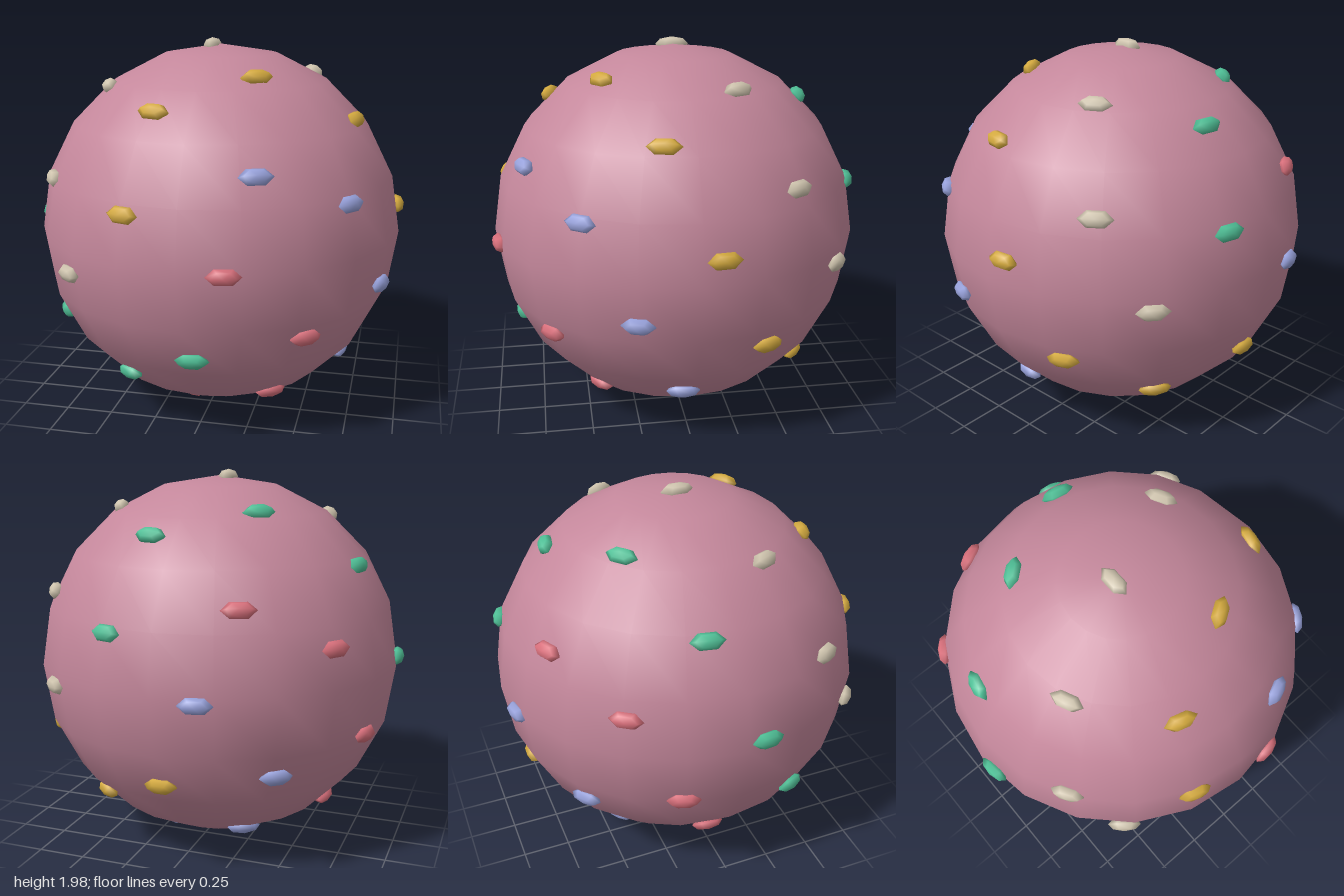
import * as THREE from 'three';

function mat(name, color) {
  const m = new THREE.MeshStandardMaterial({ color });
  m.name = name;
  return m;
}

export function createModel() {
  const model = new THREE.Group();
  model.name = 'sprinkledBall';
  model.position.set(0, 0.983, -0.004);

  // Smooth ball with a coarse outline
  const ball = new THREE.Mesh(new THREE.SphereGeometry(0.972, 20, 10), mat('icing pink', 0xc4879b));
  ball.name = 'ball';
  model.add(ball);

  const colors = [
    mat('red', 0xd9707c),
    mat('gold', 0xd4aa3f),
    mat('green', 0x4fbf96),
    mat('lavender', 0x98a2dc),
    mat('cream', 0xcfc4ae),
  ];

  // Six-sided elongated sprinkle, its peak pointing outwards along local z
  const sprinkleGeo = new THREE.SphereGeometry(1, 6, 4);
  sprinkleGeo.rotateX(Math.PI / 2);
  sprinkleGeo.scale(0.087, 0.046, 0.038);

  // Sprinkles spread along a golden-angle spiral from front to back
  const count = 39;
  const golden = Math.PI * (3 - Math.sqrt(5));
  for (let i = 0; i < count; i++) {
    const z = 1 - (2 * i + 1) / count;
    const r = Math.sqrt(1 - z * z);
    const dir = new THREE.Vector3(r * Math.cos(i * golden), r * Math.sin(i * golden), z);
    const sprinkle = new THREE.Mesh(sprinkleGeo, colors[i % colors.length]);
    sprinkle.name = 'sprinkle' + (i + 1);
    sprinkle.position.copy(dir).multiplyScalar(0.967);
    sprinkle.lookAt(dir.multiplyScalar(2));
    model.add(sprinkle);
  }

  const root = new THREE.Group();
  root.name = 'model';
  root.add(model);
  return root;
}
